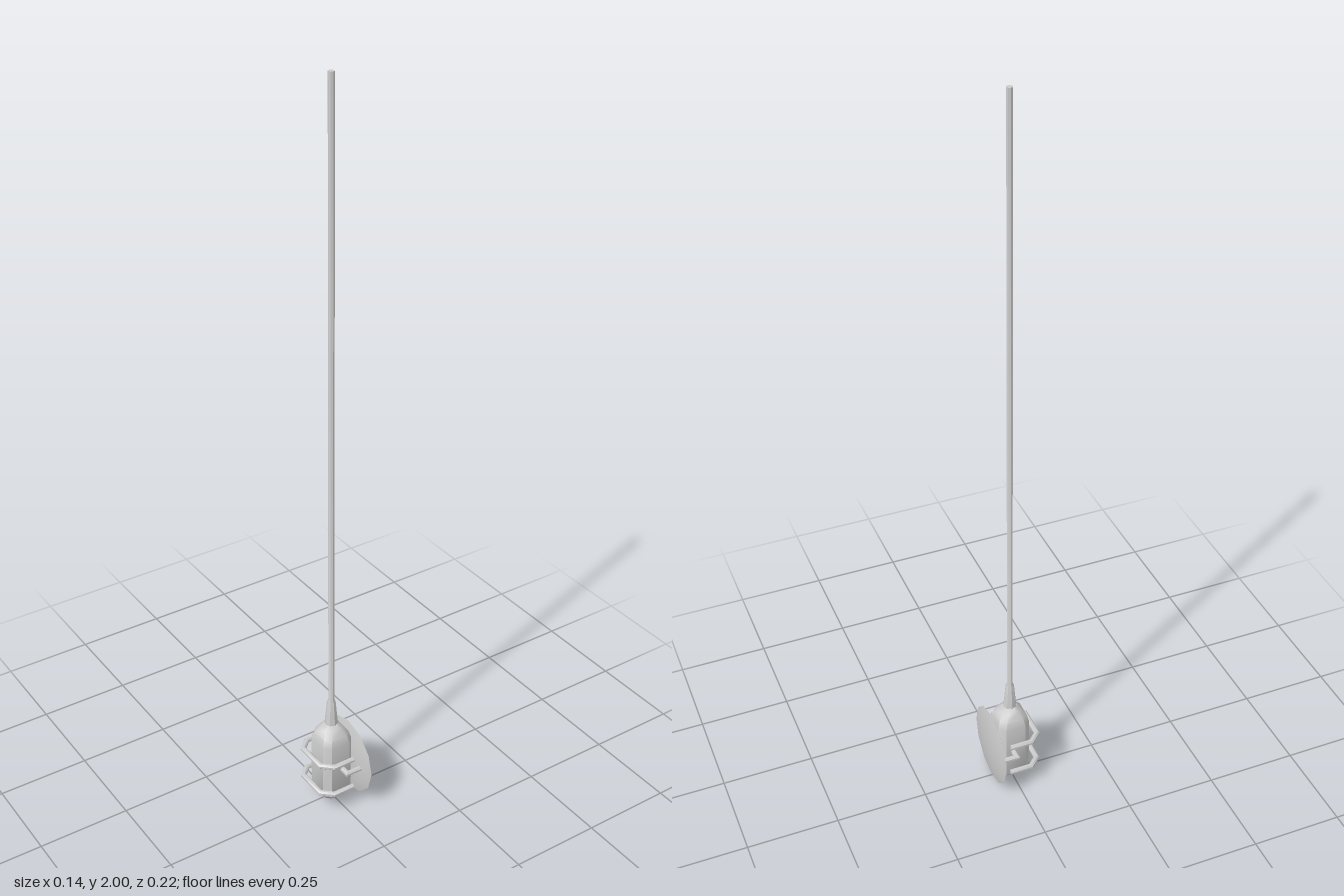
import * as THREE from 'three';
import { toCreasedNormals } from 'three/addons/utils/BufferGeometryUtils.js';

const material = new THREE.MeshStandardMaterial({ color: 0xcccccc });

// Skin a list of equal-sized rings (counter-clockwise along the path) and cap both ends
function skin(rings) {
  const n = rings[0].length, pos = rings.flat(2), index = [];
  for (let r = 0; r < rings.length - 1; r++)
    for (let i = 0; i < n; i++) {
      const a = r * n + i, b = r * n + (i + 1) % n;
      index.push(a, b, b + n, a, b + n, a + n);
    }
  const last = (rings.length - 1) * n;
  for (let i = 1; i < n - 1; i++) index.push(0, i + 1, i, last, last + i, last + i + 1);
  const g = new THREE.BufferGeometry();
  g.setAttribute('position', new THREE.Float32BufferAttribute(pos, 3));
  g.setIndex(index);
  return g;
}

// Round bar with mitred corners along a flat [x, z] path at height y
function bar(path, y, radius, sides = 8) {
  const dir = (a, b) => new THREE.Vector2(b[0] - a[0], b[1] - a[1]).normalize();
  return skin(path.map((p, k) => {
    const before = dir(path[Math.max(k - 1, 0)], path[Math.max(k, 1)]);
    const m = path.length - 1;
    const after = dir(path[Math.min(k, m - 1)], path[Math.min(k + 1, m)]);
    const d = before.clone().add(after).normalize();
    const stretch = radius / d.dot(before);
    return Array.from({ length: sides }, (_, i) => {
      const t = (i + 0.5) / sides * Math.PI * 2, s = Math.cos(t) * stretch;
      return [p[0] + d.y * s, y + Math.sin(t) * radius, p[1] - d.x * s];
    });
  }));
}

// Chamfered-square ring: half width a, half length b of the flat sides
const octagon = (y, a, b) => [[a, b], [b, a], [-b, a], [-a, b], [-a, -b], [-b, -a], [b, -a], [a, -b]]
  .map(([x, z]) => [x, y, -z]);

export function createModel() {
  const group = new THREE.Group();
  const add = (name, geometry, crease = 0.7) => {
    const mesh = new THREE.Mesh(toCreasedNormals(geometry, crease), material);
    mesh.name = name;
    group.add(mesh);
    return mesh;
  };

  // Housing with chamfered corners, bevelled base and domed shoulders
  const levels = [[0, 0.012, 0.006], [0.012, 0.03, 0.018], [0.032, 0.045, 0.028], [0.195, 0.045, 0.028],
    [0.217, 0.039, 0.023], [0.235, 0.027, 0.014], [0.247, 0.017, 0.007]];
  add('housing', skin(levels.map(l => octagon(...l))));

  // Tapered neck and long rod
  const rod = [[0, 0.235], [0.02, 0.235], [0.018, 0.25], [0.012, 0.315], [0.008, 0.325], [0.008, 2], [0, 2]];
  add('rod', new THREE.LatheGeometry(rod.map(p => new THREE.Vector2(...p)), 8));

  // Two wrap-around handles on the far side of the plate
  const loop = [[0.025, -0.068], [-0.035, -0.068], [-0.062, -0.043], [-0.062, 0.043], [-0.035, 0.068], [0.025, 0.068]];
  for (const y of [0.063, 0.155]) add('handle', bar(loop, y, 0.0075));

  // Middle bracket joining the housing to the plate on both sides
  for (const s of [1, -1]) {
    add('plateBracket', bar([[0.052, 0.068 * s], [0.007, 0.068 * s], [0.007, 0.03 * s]], 0.114, 0.0075));
  }

  // Shallow lens-shaped round plate on the left
  const plate = [[0, -0.012], [0.045, -0.011], [0.085, -0.007], [0.111, 0], [0.085, 0.006], [0.045, 0.01], [0, 0.012]];
  const disc = add('roundPlate', new THREE.LatheGeometry(plate.map(p => new THREE.Vector2(...p)), 12));
  disc.rotation.z = -Math.PI / 2;
  disc.position.set(0.055, 0.117, 0);

  return group;
}
